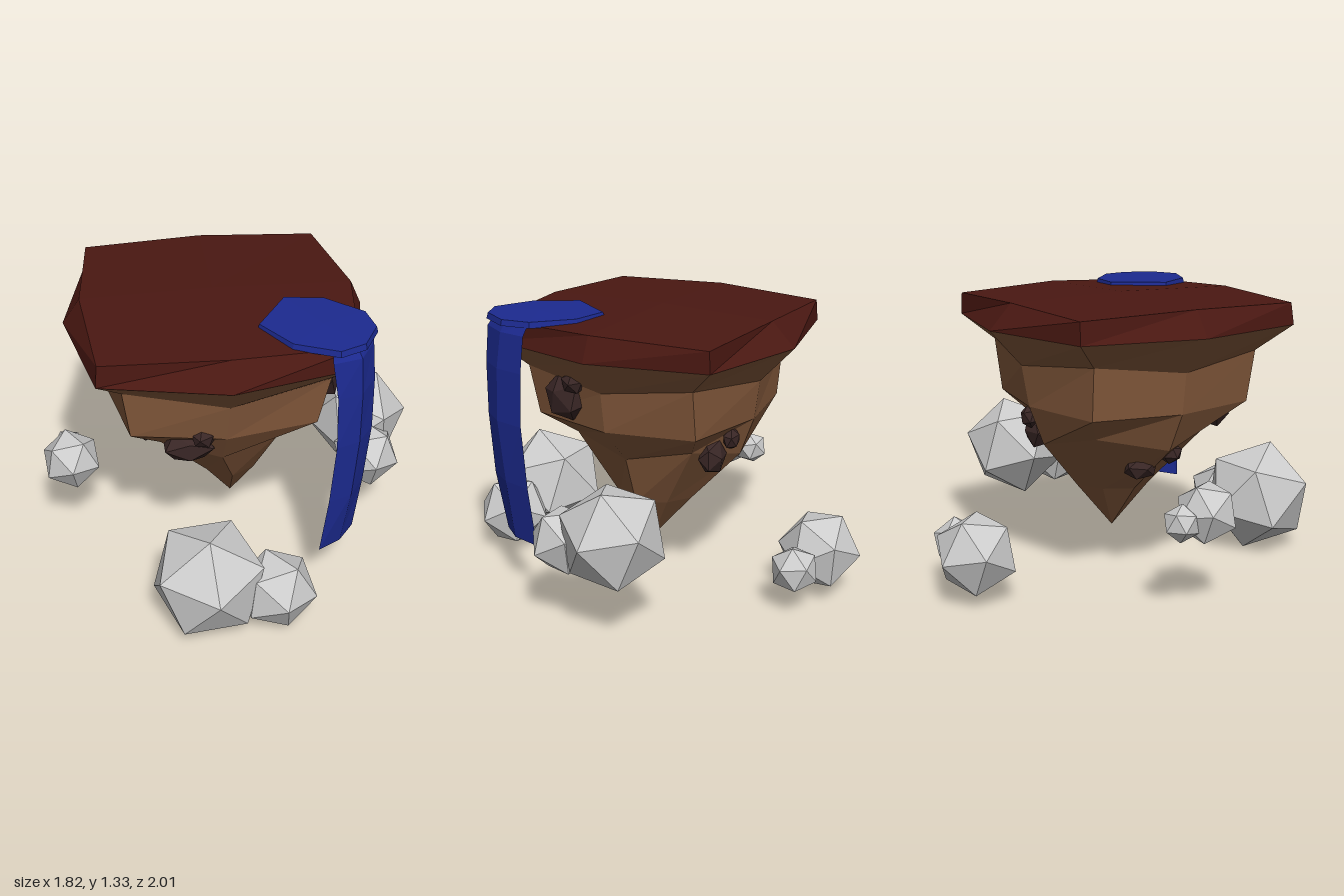
import * as THREE from 'three';

const mat = (color, side = THREE.FrontSide) =>
  new THREE.MeshStandardMaterial({ color, side, flatShading: true });
const grey = mat(0xcccccc), earth = mat(0x855a3c), red = mat(0x4a1812),
  dark = mat(0x3a2726), blue = mat(0x1c2a90, THREE.DoubleSide);

// Eight points per ring: edge middles alternate with corners, front -> +x -> back -> -x
function ring([yMid, yCorner, l, r, b, f, cl, cr, cb, cf]) {
  const mx = (cl + cr) / 2;
  return [[mx, yMid, f], [cr, yCorner, cf], [r, yMid, 0], [cr, yCorner, cb],
    [mx, yMid, b], [cl, yCorner, cb], [l, yMid, 0], [cl, yCorner, cf]];
}

// Skin between rows of points listed from bottom to top
function loft(rows, closed = true) {
  const n = rows[0].length, index = [];
  for (let j = 0; j < rows.length - 1; j++) {
    for (let i = 0; i < (closed ? n : n - 1); i++) {
      const k = (i + 1) % n, a = j * n, b = a + n;
      index.push(a + i, a + k, b + k, a + i, b + k, b + i);
    }
  }
  const g = new THREE.BufferGeometry();
  g.setAttribute('position', new THREE.Float32BufferAttribute(rows.flat(2), 3));
  g.setIndex(index);
  const flat = g.toNonIndexed();
  flat.computeVertexNormals();
  return flat;
}

const point = (x, y, z) => Array.from({ length: 8 }, () => [x, y, z]);

export function createModel() {
  const model = new THREE.Group();
  const add = (name, geometry, material, parent = model) => {
    const mesh = new THREE.Mesh(geometry, material);
    mesh.name = name;
    parent.add(mesh);
    return mesh;
  };

  // Floating island: tapering earth under a flared cap
  const rim = ring([1.2, 1.2, -0.76, 0.61, -0.68, 0.7, -0.64, 0.48, -0.55, 0.57]);
  add('islandEarth', loft([
    point(0, 0.18, 0),
    ring([0.41, 0.41, -0.2, 0.17, -0.2, 0.2, -0.13, 0.1, -0.13, 0.13]),
    ring([0.655, 0.72, -0.49, 0.26, -0.42, 0.38, -0.36, 0.19, -0.31, 0.31]),
    ring([0.84, 0.84, -0.585, 0.44, -0.49, 0.5, -0.5, 0.34, -0.41, 0.42]),
    ring([1.03, 1.08, -0.61, 0.47, -0.52, 0.54, -0.53, 0.39, -0.42, 0.44]),
    rim,
  ]), earth);
  add('islandCap', loft([
    rim,
    ring([1.315, 1.3, -0.68, 0.56, -0.57, 0.61, -0.63, 0.48, -0.545, 0.56]),
    point(-0.08, 1.33, 0),
  ]), red);

  // Pool on the cap
  const outline = [[0.07, 0.36], [0.19, 0.55], [0.38, 0.64], [0.5, 0.59],
    [0.58, 0.45], [0.56, 0.31], [0.4, 0.16], [0.22, 0.13]];
  const poolRow = (y, s) => outline.map(([x, z]) => [0.35 + (x - 0.35) * s, y, 0.4 + (z - 0.4) * s]);
  add('pool', loft([poolRow(1.305, 1), poolRow(1.332, 0.97), point(0.35, 1.336, 0.4)]), blue);

  // Waterfall: a curved sheet around the front corner
  add('waterfall', loft([
    [[0.33, 0.26, 0.62], [0.44, 0.26, 0.56], [0.52, 0.26, 0.46], [0.555, 0.26, 0.31]],
    [[0.36, 0.55, 0.64], [0.47, 0.55, 0.6], [0.55, 0.55, 0.48], [0.585, 0.55, 0.33]],
    [[0.38, 0.85, 0.65], [0.49, 0.85, 0.61], [0.57, 0.85, 0.5], [0.6, 0.85, 0.345]],
    [[0.375, 1.1, 0.645], [0.49, 1.1, 0.61], [0.57, 1.1, 0.49], [0.595, 1.1, 0.34]],
    [[0.35, 1.27, 0.63], [0.48, 1.27, 0.6], [0.56, 1.27, 0.47], [0.58, 1.27, 0.33]],
    [[0.35, 1.322, 0.6], [0.46, 1.322, 0.57], [0.54, 1.322, 0.45], [0.55, 1.322, 0.32]],
  ], false), blue);

  // Rocks floating on each side: [x, y, z, radius, rotations]
  const rocks = new THREE.Group();
  rocks.name = 'floatingRocks';
  model.add(rocks);
  [['frontRock', -0.2, 0.265, 0.74, 0.275, 0.3, 0.4, 0.55],
    ['frontSmallRock', 0.11, 0.19, 0.77, 0.185, 0.5, 0.2, 0.1],
    ['leftRock', 0.67, 0.46, -0.18, 0.25, 0.2, 0.5, 0.1],
    ['leftSmallRock', 0.67, 0.39, 0.07, 0.165, 0.5, 0.1, 0.0],
    ['rightRock', -0.775, 0.445, 0.0, 0.145, 0.5, 0.1, 0.1],
    ['rightSmallRock', -0.785, 0.42, -0.14, 0.085, 0.2, 0.3, 0.4],
    ['backRock', -0.16, 0.225, -0.81, 0.195, 0.5, 0.3, 0.0],
    ['backSmallRock', 0.08, 0.21, -0.79, 0.115, 0.1, 0.4, 0.3],
  ].forEach(([name, x, y, z, r, a, b, c]) => {
    const rock = add(name, new THREE.IcosahedronGeometry(r), grey, rocks);
    rock.position.set(x, y, z);
    rock.rotation.set(a, b, c);
  });

  // Dark stones set in the earth: [x, y, z, half sizes]
  const stones = new THREE.Group();
  stones.name = 'embeddedStones';
  model.add(stones);
  [['frontStone', -0.24, 0.75, 0.4, 0.13, 0.08, 0.07],
    ['frontSmallStone', -0.18, 0.84, 0.46, 0.06, 0.06, 0.05],
    ['leftStone', 0.41, 0.97, 0.22, 0.07, 0.12, 0.115],
    ['leftSmallStone', 0.44, 1.05, 0.16, 0.05, 0.055, 0.065],
    ['backStone', 0.08, 0.68, -0.36, 0.09, 0.09, 0.06],
    ['backSmallStone', 0.03, 0.765, -0.43, 0.055, 0.055, 0.04],
    ['rightStone', -0.33, 0.55, -0.05, 0.06, 0.06, 0.09],
    ['rightSmallStone', -0.41, 0.62, 0.06, 0.05, 0.05, 0.06],
  ].forEach(([name, x, y, z, sx, sy, sz], i) => {
    const g = new THREE.IcosahedronGeometry(1).rotateZ(i * 0.7).rotateX(i * 0.4);
    const stone = add(name, g.scale(sx, sy, sz), dark, stones);
    stone.position.set(x, y, z);
  });

  return model;
}
